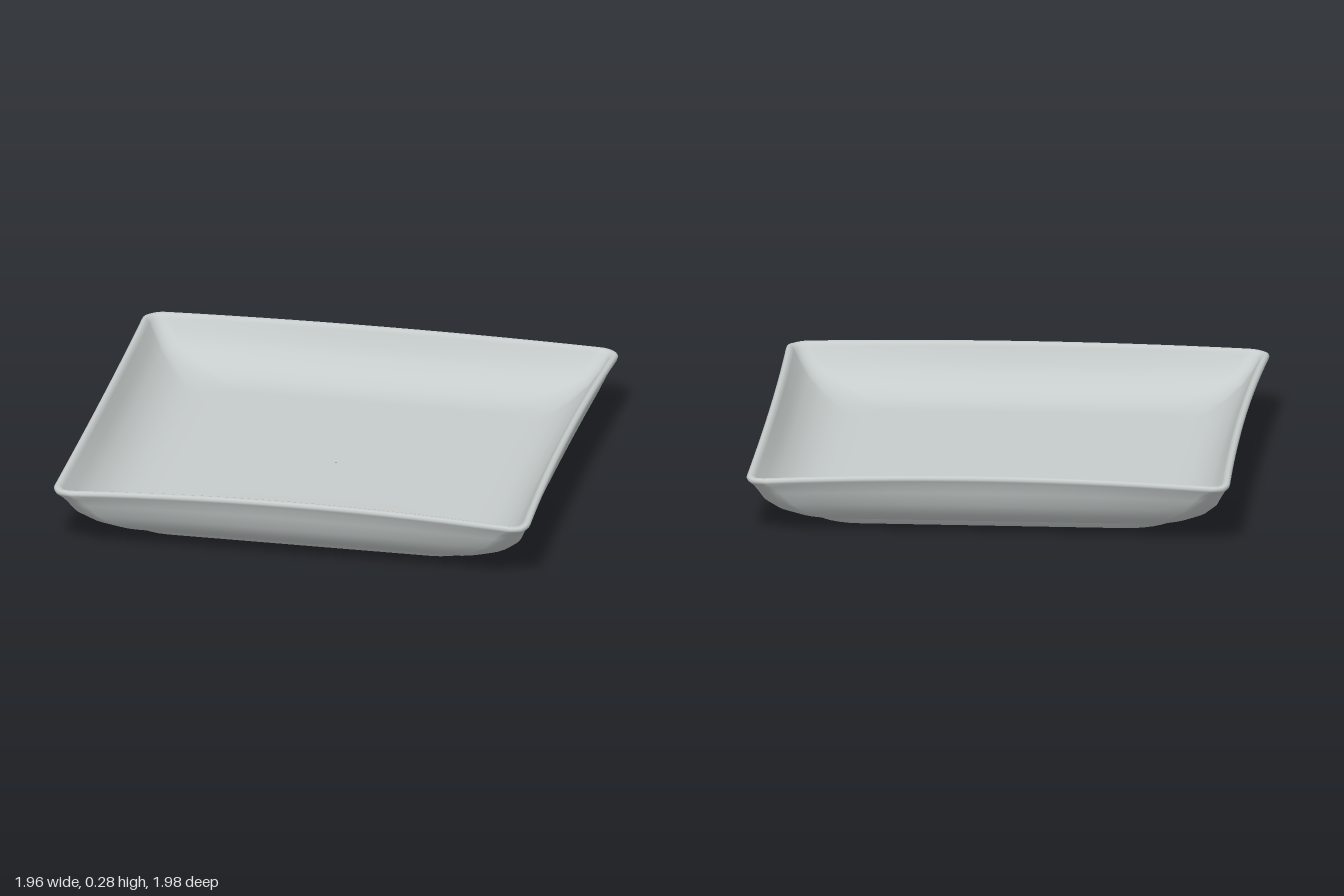
import * as THREE from 'three';

const ARC = 8, SIDE = 14;

// One rounded-square loop: unit-free half width h with corner radius r
function squareLoop(h, r) {
  const pts = [];
  for (let q = 0; q < 4; q++) {
    const turn = q * Math.PI / 2, c = Math.cos(turn), s = Math.sin(turn);
    const add = (x, z) => pts.push([x * c - z * s, x * s + z * c]);
    for (let i = 0; i < SIDE; i++) add(h, (h - r) * (2 * i / SIDE - 1));
    for (let i = 0; i < ARC; i++) {
      const a = i / ARC * Math.PI / 2;
      add(h - r + r * Math.cos(a), h - r + r * Math.sin(a));
    }
  }
  return pts;
}

// Skin a list of [half width, corner radius, height, rim influence]
function loftPlate(profile) {
  const pos = [], index = [], n = 4 * (ARC + SIDE);
  for (const [h, r, y, w] of profile) {
    for (const [x, z] of squareLoop(h, r)) {
      const ax = Math.abs(x), az = Math.abs(z);
      const t = Math.min(ax, az) / Math.max(ax, az);
      const mid = w * (1 - t * t);
      // Sides bow inwards and lift slightly at their middles
      const px = x - (ax > az ? Math.sign(x) * 0.018 * mid : 0);
      const pz = z - (az >= ax ? Math.sign(z) * 0.022 * mid : 0);
      const lift = 0.024 * mid - 0.007 * x + 0.006;
      pos.push(px, y + lift, pz * 1.01);
    }
  }
  for (let i = 0; i < profile.length - 1; i++) {
    for (let j = 0; j < n; j++) {
      const a = i * n + j, b = i * n + (j + 1) % n;
      index.push(a, a + n, b, b, a + n, b + n);
    }
  }
  const geo = new THREE.BufferGeometry();
  geo.setAttribute('position', new THREE.Float32BufferAttribute(pos, 3));
  geo.setIndex(index);
  geo.computeVertexNormals();
  return geo;
}

export function createModel() {
  const group = new THREE.Group();
  group.name = 'squarePlate';
  const glaze = new THREE.MeshStandardMaterial({ color: 0xc6cccb });
  glaze.name = 'pale grey glaze';

  const part = (name, profile) => {
    const mesh = new THREE.Mesh(loftPlate(profile), glaze);
    mesh.name = name;
    group.add(mesh);
  };

  // Recessed underside with a small sunken square, inside the foot
  part('underside', [
    [0.002, 0.001, 0.032, 0], [0.17, 0.04, 0.032, 0], [0.2, 0.05, 0.02, 0],
    [0.3, 0.08, 0.022, 0], [0.56, 0.16, 0.022, 0], [0.66, 0.19, 0.016, 0],
    [0.71, 0.2, 0.006, 0], [0.735, 0.21, 0, 0],
  ]);

  // Short flared foot
  part('foot', [
    [0.735, 0.21, 0, 0], [0.75, 0.21, 0, 0], [0.77, 0.21, 0.025, 0],
  ]);

  // Curved outer wall, rolled rim, sloping inner wall and flat floor
  part('dish', [
    [0.77, 0.21, 0.025, 0], [0.84, 0.19, 0.048, 0], [0.885, 0.16, 0.08, 0.1],
    [0.925, 0.13, 0.125, 0.3], [0.95, 0.11, 0.175, 0.6], [0.968, 0.1, 0.205, 0.9],
    [0.982, 0.09, 0.222, 1], [0.985, 0.085, 0.232, 1], [0.98, 0.08, 0.241, 1],
    [0.97, 0.075, 0.245, 1], [0.958, 0.07, 0.241, 1], [0.948, 0.07, 0.228, 0.9],
    [0.92, 0.07, 0.185, 0.6], [0.88, 0.08, 0.14, 0.3], [0.82, 0.1, 0.1, 0.1],
    [0.76, 0.12, 0.075, 0], [0.7, 0.12, 0.063, 0], [0.64, 0.12, 0.06, 0],
    [0.3, 0.06, 0.06, 0], [0.002, 0.001, 0.06, 0],
  ]);

  return group;
}
